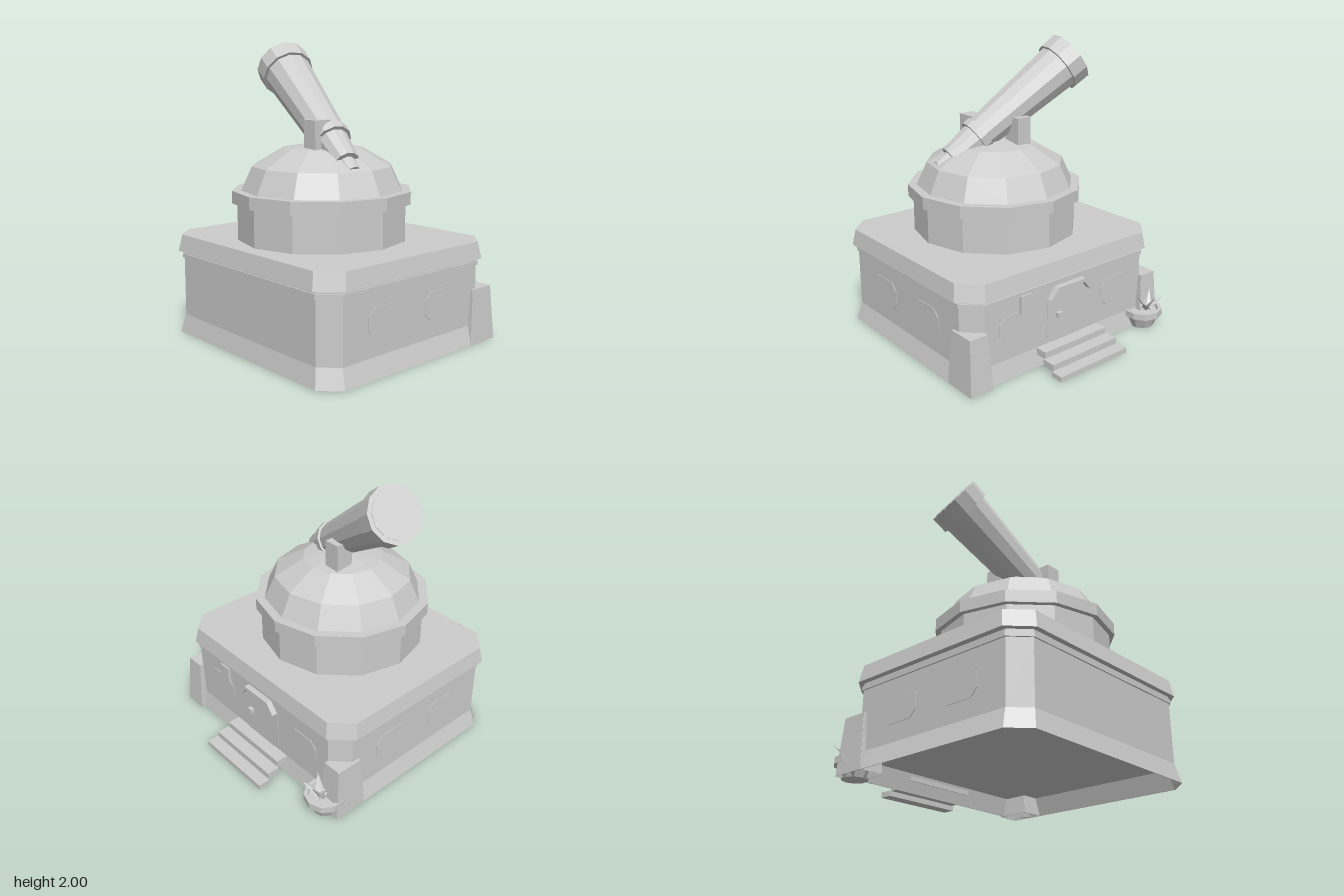
import * as THREE from 'three';

export function createModel() {
  const model = new THREE.Group();
  const stone = new THREE.MeshStandardMaterial({ color: 0xcccccc });
  stone.name = 'paleGrey';

  // Adds a faceted mesh
  function add(name, geometry, x = 0, y = 0, z = 0, parent = model) {
    const flat = geometry.index ? geometry.toNonIndexed() : geometry;
    flat.computeVertexNormals();
    const mesh = new THREE.Mesh(flat, stone);
    mesh.name = name;
    mesh.position.set(x, y, z);
    parent.add(mesh);
    return mesh;
  }

  // Rectangle with cut corners, as [x, z] pairs
  function cutRect(hx, hz, c) {
    return [[hx, -hz + c], [hx, hz - c], [hx - c, hz], [-hx + c, hz],
      [-hx, hz - c], [-hx, -hz + c], [-hx + c, -hz], [hx - c, -hz]];
  }

  // Closed solid through rings given as [y, halfX, halfZ, cornerCut]
  function loft(rows) {
    const rings = rows.map(([y, hx, hz, c]) => cutRect(hx, hz, c).map(([x, z]) => [x, y, z]));
    const pos = [];
    const tri = (...corners) => corners.forEach((p) => pos.push(...p));
    const top = rings[rings.length - 1];
    const n = top.length;
    for (let i = 0; i < n; i++) {
      const j = (i + 1) % n;
      for (let k = 0; k + 1 < rings.length; k++) {
        const a = rings[k], b = rings[k + 1];
        tri(a[i], b[i], a[j]);
        tri(a[j], b[i], b[j]);
      }
      tri([0, rows[rows.length - 1][0], 0], top[j], top[i]);
      tri([0, rows[0][0], 0], rings[0][i], rings[0][j]);
    }
    const g = new THREE.BufferGeometry();
    g.setAttribute('position', new THREE.Float32BufferAttribute(pos, 3));
    return g;
  }

  // Thin plate with cut corners, facing +z
  function plate(w, h, c) {
    const shape = new THREE.Shape(cutRect(w / 2, h / 2, c).map(([x, y]) => new THREE.Vector2(x, y)));
    return new THREE.ExtrudeGeometry(shape, { depth: 0.004, bevelEnabled: false });
  }

  // Main building: raised underside, hollow flared foot, walls and string course
  add('walls', loft([
    [0.125, 0.797, 0.707, 0.11], [0, 0.832, 0.732, 0.12],
    [0, 0.837, 0.737, 0.12], [0.125, 0.8, 0.71, 0.11], [0.53, 0.8, 0.71, 0.11],
    [0.53, 0.81, 0.72, 0.115], [0.558, 0.81, 0.72, 0.115], [0.558, 0.8, 0.71, 0.11],
    [0.578, 0.8, 0.71, 0.11],
  ]), 0.003, 0, 0.112);
  // Overhanging roof slab
  add('roofSlab', loft([[0.578, 0.84, 0.744, 0.135], [0.692, 0.82, 0.722, 0.13]]), 0.003, 0, 0.114);

  // Hollow rear corner buttresses
  for (const s of [-1, 1]) {
    add('buttress', loft([
      [0.36, 0.064, 0.09, 0.001], [0, 0.082, 0.119, 0.001],
      [0, 0.085, 0.122, 0.001], [0.37, 0.067, 0.093, 0.001],
    ]), s * 0.753 + 0.002, 0, -0.532);
  }

  // Side and rear windows
  for (const s of [-1, 1]) {
    for (const z of [0.365, -0.13]) {
      add('sideWindow', plate(0.285, 0.19, 0.05), s * 0.8 + 0.003, 0.335, z).rotation.y = s * Math.PI / 2;
    }
    add('rearWindow', plate(0.27, 0.19, 0.05), s * 0.44, 0.335, -0.598).rotation.y = Math.PI;
  }

  // Entrance: door, handle, bent hood and plaque
  add('door', plate(0.37, 0.37, 0.05), 0, 0.305, -0.598).rotation.y = Math.PI;
  add('doorHandle', new THREE.BoxGeometry(0.04, 0.035, 0.03), 0.09, 0.31, -0.613);
  const hood = new THREE.Shape([[-0.18, 0.44], [-0.12, 0.515], [0.12, 0.515], [0.18, 0.44],
    [0.16, 0.43], [0.11, 0.49], [-0.11, 0.49], [-0.16, 0.43]].map(([x, y]) => new THREE.Vector2(x, y)));
  add('doorHood', new THREE.ExtrudeGeometry(hood, { depth: 0.04, bevelEnabled: false }), 0, 0, -0.638);
  add('wallPlaque', new THREE.BoxGeometry(0.09, 0.12, 0.02), 0.375, 0.475, -0.61);

  // Steps, each meeting the next, given as [width, outer z, inner z, bottom, top]
  for (const [w, outer, inner, low, top] of [
    [0.59, 0.86, 0.773, 0, 0.036], [0.57, 0.775, 0.683, 0.034, 0.08], [0.545, 0.685, 0.598, 0.078, 0.125],
  ]) {
    add('step', new THREE.BoxGeometry(w, top - low, outer - inner), 0, (top + low) / 2, -(outer + inner) / 2);
  }

  // Drum, ring and twelve-sided dome
  add('drum', new THREE.CylinderGeometry(0.572, 0.572, 0.27, 12), 0.003, 0.815, 0.161);
  add('drumRing', new THREE.CylinderGeometry(0.607, 0.607, 0.083, 12), 0.003, 0.981, 0.161);
  const domeProfile = [0, 30, 60, 90].map((deg) => {
    const a = deg * Math.PI / 180;
    return new THREE.Vector2(Math.max(0, 0.547 * Math.cos(a)), 0.32 * Math.sin(a));
  });
  add('dome', new THREE.LatheGeometry(domeProfile, 12), 0.003, 1.02, 0.161);

  // Telescope along a tilted axis, its eyepiece sunk in the dome
  const lens = new THREE.Vector3(-0.573, 1.848, 0.037);
  const eye = new THREE.Vector3(0.4, 1.163, 0.255);
  const axis = eye.clone().sub(lens);
  const length = axis.length();
  const telescope = new THREE.Group();
  telescope.name = 'telescope';
  telescope.position.copy(lens);
  telescope.quaternion.setFromUnitVectors(new THREE.Vector3(0, 1, 0), axis.normalize());
  model.add(telescope);
  for (const [name, from, to, r0, r1] of [
    ['lensGlass', -0.004, 0.01, 0.16, 0.16],
    ['lensHood', 0, 0.12, 0.19, 0.186],
    ['mainTube', 0.1, 0.86, 0.168, 0.12],
    ['tubeCollar', 0.84, 0.895, 0.137, 0.133],
    ['rearTube', 0.88, 1.11, 0.112, 0.09],
    ['eyepiece', 1.09, length, 0.06, 0.057],
  ]) {
    add(name, new THREE.CylinderGeometry(r1, r0, to - from, 12), 0, (from + to) / 2, 0, telescope);
  }

  // Cradle blocks either side of the tube
  add('frontCradle', new THREE.BoxGeometry(0.113, 0.24, 0.13), 0.1, 1.37, 0.29);
  add('backCradle', new THREE.BoxGeometry(0.113, 0.24, 0.13), -0.097, 1.37, 0.03);

  // Potted plant at the rear corner
  const pot = [[0, 0], [0.085, 0], [0.12, 0.08], [0.14, 0.085], [0.14, 0.13], [0.115, 0.13], [0.11, 0.11], [0, 0.11]];
  add('plantPot', new THREE.LatheGeometry(pot.map(([r, y]) => new THREE.Vector2(r, y)), 10), -0.7, 0, -0.635);
  for (let i = 0; i < 6; i++) {
    const leaf = new THREE.ConeGeometry(0.035, 0.15, 4);
    leaf.scale(1, 1, 0.4);
    leaf.translate(0, 0.075, 0);
    leaf.rotateX(i % 2 ? 0.6 : 0.95);
    leaf.rotateY(i * Math.PI / 3);
    add('leaf', leaf, -0.7, 0.13, -0.675);
  }

  return model;
}
